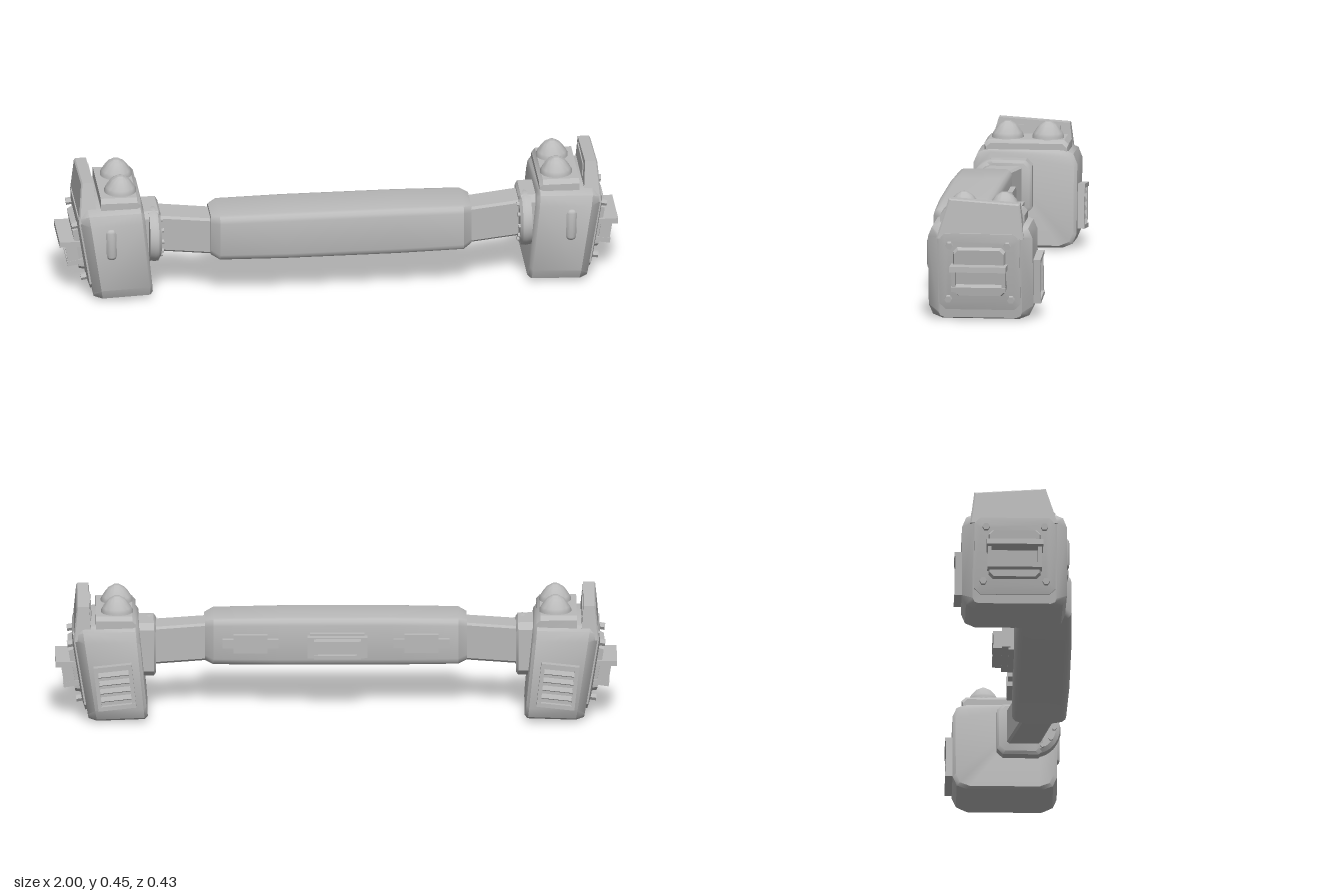
import * as THREE from 'three';
import { toCreasedNormals } from 'three/addons/utils/BufferGeometryUtils.js';

const grey = new THREE.MeshStandardMaterial({ color: 0xbababa });
grey.name = 'plain grey';

function part(parent, name, geo, pos = [0, 0, 0], rot = [0, 0, 0], crease = 0.6) {
  const m = new THREE.Mesh(toCreasedNormals(geo, crease), grey);
  m.name = name;
  m.position.set(...pos);
  m.rotation.set(...rot);
  parent.add(m);
  return m;
}

function subgroup(parent, name, pos = [0, 0, 0], lean = 0) {
  const g = new THREE.Group();
  g.name = name;
  g.position.set(...pos);
  g.rotation.z = lean;
  parent.add(g);
  return g;
}

const box = (x, y, z) => new THREE.BoxGeometry(x, y, z);

// Cross-section in the yz plane with cut or rounded corners; x shifts by lean * y
function ring(x, lean, y0, y1, z0, z1, c, n = 1) {
  const pts = [];
  const centres = [[y1 - c, z1 - c], [y0 + c, z1 - c], [y0 + c, z0 + c], [y1 - c, z0 + c]];
  centres.forEach(([cy, cz], q) => {
    for (let i = 0; i <= n; i++) {
      const a = (q + i / n) * Math.PI / 2;
      const y = cy + c * Math.cos(a);
      pts.push([x + lean * y, y, cz + c * Math.sin(a)]);
    }
  });
  return pts;
}

// Closed skin over cross-sections that advance along +x
function loft(rings) {
  const n = rings[0].length, index = [];
  for (let i = 0; i < rings.length - 1; i++) {
    for (let j = 0; j < n; j++) {
      const k = (j + 1) % n, a = i * n + j, b = i * n + k;
      index.push(a, b, b + n, a, b + n, a + n);
    }
  }
  const e = (rings.length - 1) * n;
  for (let j = 1; j < n - 1; j++) index.push(0, j + 1, j, e, e + j, e + j + 1);
  const g = new THREE.BufferGeometry();
  g.setAttribute('position', new THREE.Float32BufferAttribute(rings.flat(2), 3));
  g.setIndex(index);
  return g;
}

// Mirrored copy across x, with the triangle order turned round
function mirrored(source, name) {
  const out = new THREE.Group();
  out.name = name;
  source.updateMatrixWorld(true);
  source.traverse((o) => {
    if (!o.isMesh) return;
    const g = o.geometry.clone().applyMatrix4(o.matrixWorld).scale(-1, 1, 1);
    for (const att of Object.values(g.attributes)) {
      const s = att.itemSize, v = att.array;
      for (let t = 0; t < v.length; t += 3 * s) {
        for (let i = 0; i < s; i++) {
          [v[t + s + i], v[t + 2 * s + i]] = [v[t + 2 * s + i], v[t + s + i]];
        }
      }
    }
    const m = new THREE.Mesh(g, grey);
    m.name = o.name;
    out.add(m);
  });
  return out;
}

function buildPod() {
  const pod = new THREE.Group();
  pod.name = 'leftPod';

  // Leaning body with a bevelled outer side
  part(pod, 'podBody', loft([
    ring(0.671, 0.1, 0.014, 0.344, -0.182, 0.167, 0.05, 2),
    ring(0.682, 0.1, 0.006, 0.355, -0.193, 0.179, 0.05, 2),
    ring(0.853, 0.15, 0, 0.35, -0.193, 0.182, 0.05, 2),
    ring(0.882, 0.165, 0.008, 0.322, -0.155, 0.145, 0.02, 2),
  ]), [0, 0, 0], [0, 0, 0], 0.75);

  // Raised block and the two domes on top
  part(pod, 'topBlock', loft([
    ring(0.715, 0, 0.32, 0.375, -0.155, 0.135, 0.015),
    ring(0.728, 0, 0.32, 0.388, -0.16, 0.142, 0.015),
    ring(0.858, 0, 0.32, 0.388, -0.16, 0.142, 0.015),
  ]));
  const dome = [[0.057, 0], [0.057, 0.009], [0.051, 0.02], [0.041, 0.036], [0.03, 0.049],
    [0.017, 0.057], [0.013, 0.06], [0, 0.06]].map((p) => new THREE.Vector2(...p));
  for (const z of [-0.082, 0.063]) {
    part(pod, 'topDome', new THREE.LatheGeometry(dome, 28), [0.782, 0.386, z]);
  }

  // Upright fin: tapered slab with a bevelled outer rim
  const finRing = (xLow, xHigh, s) => [
    [xLow, 0.3, -0.165 + s], [xHigh, 0.425 - s, -0.15 + s],
    [xHigh, 0.442 - s, 0.105 - s], [xLow, 0.3, 0.148 - s],
  ];
  part(pod, 'fin', loft([
    finRing(0.872, 0.882, 0), finRing(0.933, 0.921, 0), finRing(0.938, 0.926, 0.005),
  ]), [0, 0, 0], [0, 0, 0], 0.2);
  part(pod, 'finInnerPanel', box(0.008, 0.045, 0.19), [0.879, 0.393, -0.022], [0, 0, -0.08]);

  // Outer panel with bolts and a slatted shelf
  const panel = subgroup(pod, 'outerPanel', [0.913, 0.175, 0], -0.16);
  part(panel, 'panelPlate', loft([
    ring(-0.01, 0, -0.138, 0.146, -0.15, 0.14, 0.022),
    ring(0.004, 0, -0.138, 0.146, -0.15, 0.14, 0.022),
    ring(0.01, 0, -0.105, 0.118, -0.128, 0.118, 0.012),
  ]));
  for (const [y, z] of [[0.107, 0.1], [0.107, -0.108], [-0.094, 0.107], [-0.094, -0.118]]) {
    part(panel, 'hexBolt', new THREE.CylinderGeometry(0.013, 0.013, 0.03, 6), [0.015, y, z], [0, 0, Math.PI / 2]);
  }
  part(panel, 'ventBase', loft([
    ring(0, 0, -0.085, 0.1, -0.102, 0.09, 0.015),
    ring(0.03, 0, -0.078, 0.092, -0.095, 0.083, 0.015),
  ]));
  part(panel, 'ventShelf', box(0.075, 0.02, 0.202), [0.047, 0.031, -0.006], [0, 0, 0.16]);
  for (const z of [0.083, -0.096]) {
    part(panel, 'ventSide', box(0.04, 0.075, 0.014), [0.045, -0.012, z]);
  }
  part(panel, 'ventLowerBar', box(0.06, 0.018, 0.195), [0.038, -0.044, -0.006]);

  // Raised pill on the front
  const pill = new THREE.CapsuleGeometry(0.019, 0.082, 6, 14).scale(1, 1, 0.65);
  part(pod, 'frontPill', pill, [0.825, 0.23, 0.179], [0, 0, -0.03]);

  // Framed grille on the back
  const grille = subgroup(pod, 'backGrille', [0.79, 0.143, -0.19], -0.11);
  part(grille, 'grilleBacking', box(0.125, 0.145, 0.02));
  for (const s of [-1, 1]) {
    part(grille, 'grilleSide', box(0.014, 0.155, 0.045), [s * 0.061, 0, -0.004]);
    part(grille, 'grilleEnd', box(0.136, 0.015, 0.05), [0, s * 0.073, -0.004]);
  }
  for (let i = 0; i < 4; i++) {
    part(grille, 'grilleSlat', box(0.11, 0.017, 0.03), [0, -0.045 + i * 0.03, -0.008], [0.4, 0, 0]);
  }

  // Collar where the arm meets the pod
  part(pod, 'collarBlock', loft([
    ring(0.642, 0, 0.14, 0.315, -0.028, 0.125, 0.022),
    ring(0.65, 0, 0.13, 0.325, -0.036, 0.135, 0.022),
    ring(0.71, 0, 0.13, 0.325, -0.036, 0.135, 0.022),
  ]));
  const disc = [[0, -0.02], [0.096, -0.02], [0.1, 0], [0.096, 0.012], [0.082, 0.022], [0, 0.022]]
    .map((p) => new THREE.Vector2(...p));
  part(pod, 'collarDisc', new THREE.LatheGeometry(disc, 36), [0.665, 0.228, 0.092], [0, 0, Math.PI / 2]);
  for (let i = 0; i < 5; i++) {
    const a = (i - 2) * 0.55;
    part(pod, 'collarBolt', new THREE.CylinderGeometry(0.008, 0.008, 0.016, 8),
      [0.643, 0.228 + 0.076 * Math.sin(a), 0.092 + 0.076 * Math.cos(a)], [0, 0, Math.PI / 2]);
  }

  // Arm angled back from the grip
  part(pod, 'arm', loft([
    ring(0.44, 0, 0.168, 0.305, 0.05, 0.168, 0.008),
    ring(0.68, 0, 0.168, 0.305, -0.01, 0.112, 0.008),
  ]));
  return pod;
}

export function createModel() {
  const model = new THREE.Group();
  model.name = 'twinPodHandle';

  // Padded grip with drawn-in ends
  const half = [
    [0.467, 0.166, 0.319, 0.036, 0.178, 0.025],
    [0.437, 0.157, 0.328, 0.013, 0.207, 0.025],
    [0.2, 0.155, 0.331, 0.01, 0.213, 0.025],
  ];
  const stations = [...half.map(([x, ...r]) => [-x, ...r]), ...half.slice().reverse()];
  part(model, 'grip', loft(stations.map(([x, ...r]) => ring(x, 0, ...r, 3))));

  // Central bracket on the back of the grip
  const bracket = subgroup(model, 'gripBracket', [-0.005, 0.236, 0]);
  part(bracket, 'bracketFoot', box(0.195, 0.09, 0.03), [0, 0, 0.005]);
  part(bracket, 'bracketBase', box(0.215, 0.076, 0.03), [0, 0, -0.018]);
  part(bracket, 'bracketPlate', box(0.15, 0.045, 0.03), [0, 0, -0.035]);
  for (const s of [-1, 1]) {
    part(bracket, 'bracketRail', box(0.168, 0.014, 0.04), [0, s * 0.026, -0.046]);
    part(bracket, 'bracketEnd', box(0.014, 0.05, 0.036), [s * 0.077, 0, -0.046]);
  }

  // Flat clips either side of the bracket
  for (const s of [-1, 1]) {
    const clip = subgroup(model, 'gripClip', [s * 0.305, 0.243, 0.005]);
    part(clip, 'clipBar', box(0.2, 0.032, 0.02));
    part(clip, 'clipTab', box(0.12, 0.066, 0.026));
  }

  const pod = buildPod();
  model.add(mirrored(pod, 'rightPod'), pod);
  return model;
}
